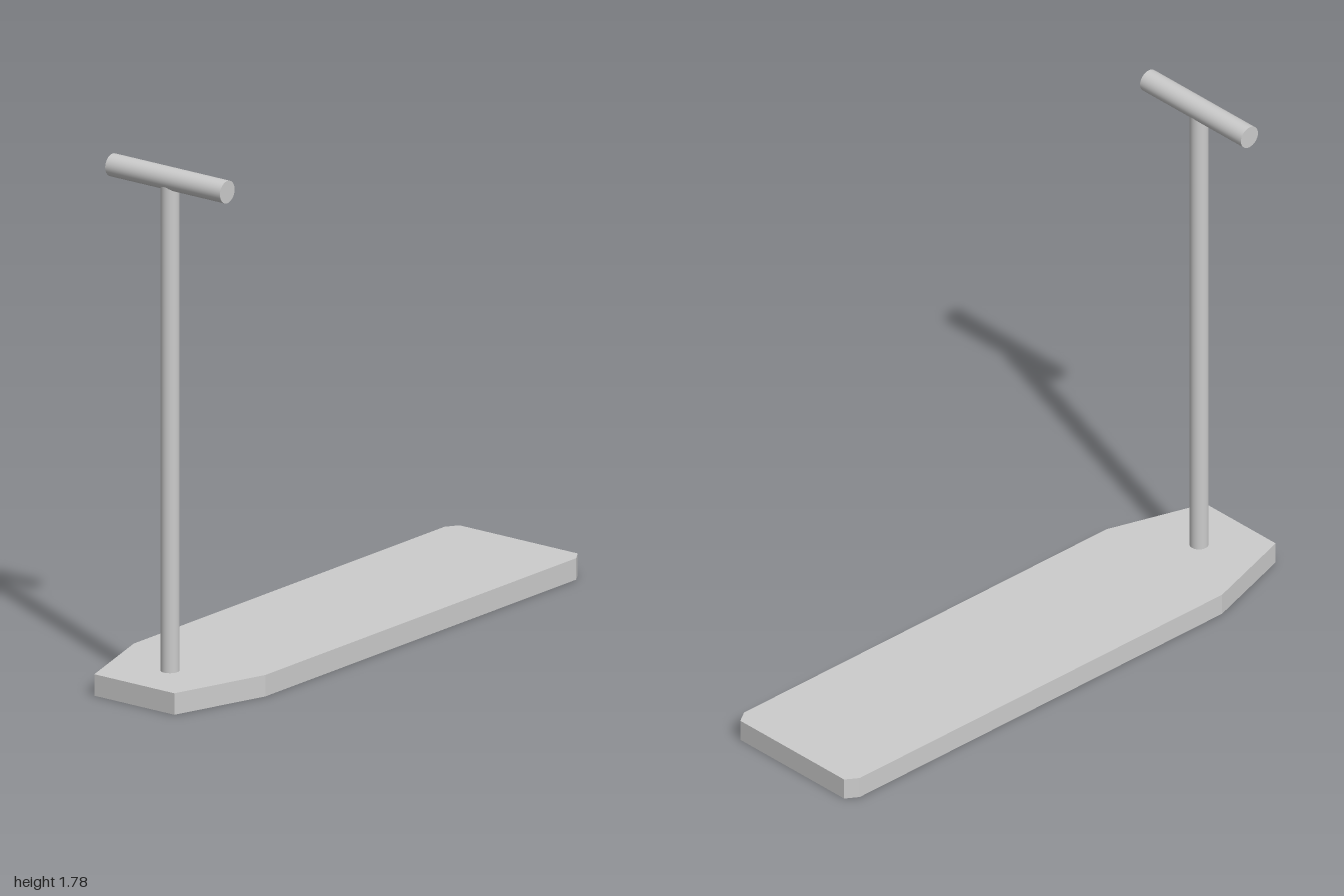
import * as THREE from 'three';

const material = new THREE.MeshStandardMaterial({ color: 0xcccccc });

function addPart(group, name, geometry) {
  const mesh = new THREE.Mesh(geometry, material);
  mesh.name = name;
  group.add(mesh);
  return mesh;
}

export function createModel() {
  const group = new THREE.Group();
  group.name = 'kickScooter';
  const deckHeight = 0.073, poleZ = 0.815, barY = 1.745;

  // Deck: half outline as [half width, z], mirrored, tapered to the nose
  const half = [[0.166, 1], [0.273, 0.66], [0.273, -0.957], [0.245, -1]];
  const outline = [...half, ...half.map(([x, z]) => [-x, z]).reverse()];
  const shape = new THREE.Shape(outline.map(([x, z]) => new THREE.Vector2(x, z)));
  const deck = new THREE.ExtrudeGeometry(shape, { depth: deckHeight, bevelEnabled: false });
  deck.rotateX(Math.PI / 2).translate(0, deckHeight, 0);
  addPart(group, 'deck', deck);

  // Steering pole, running from the deck into the handlebar
  const poleBottom = 0.04, poleTop = 1.73;
  const pole = new THREE.CylinderGeometry(0.031, 0.031, poleTop - poleBottom, 32);
  addPart(group, 'steeringPole', pole).position.set(0, (poleTop + poleBottom) / 2, poleZ);

  // Handlebar across the top
  const bar = new THREE.CylinderGeometry(0.038, 0.038, 0.476, 32).rotateZ(Math.PI / 2);
  addPart(group, 'handlebar', bar).position.set(0, barY, poleZ);

  return group;
}
